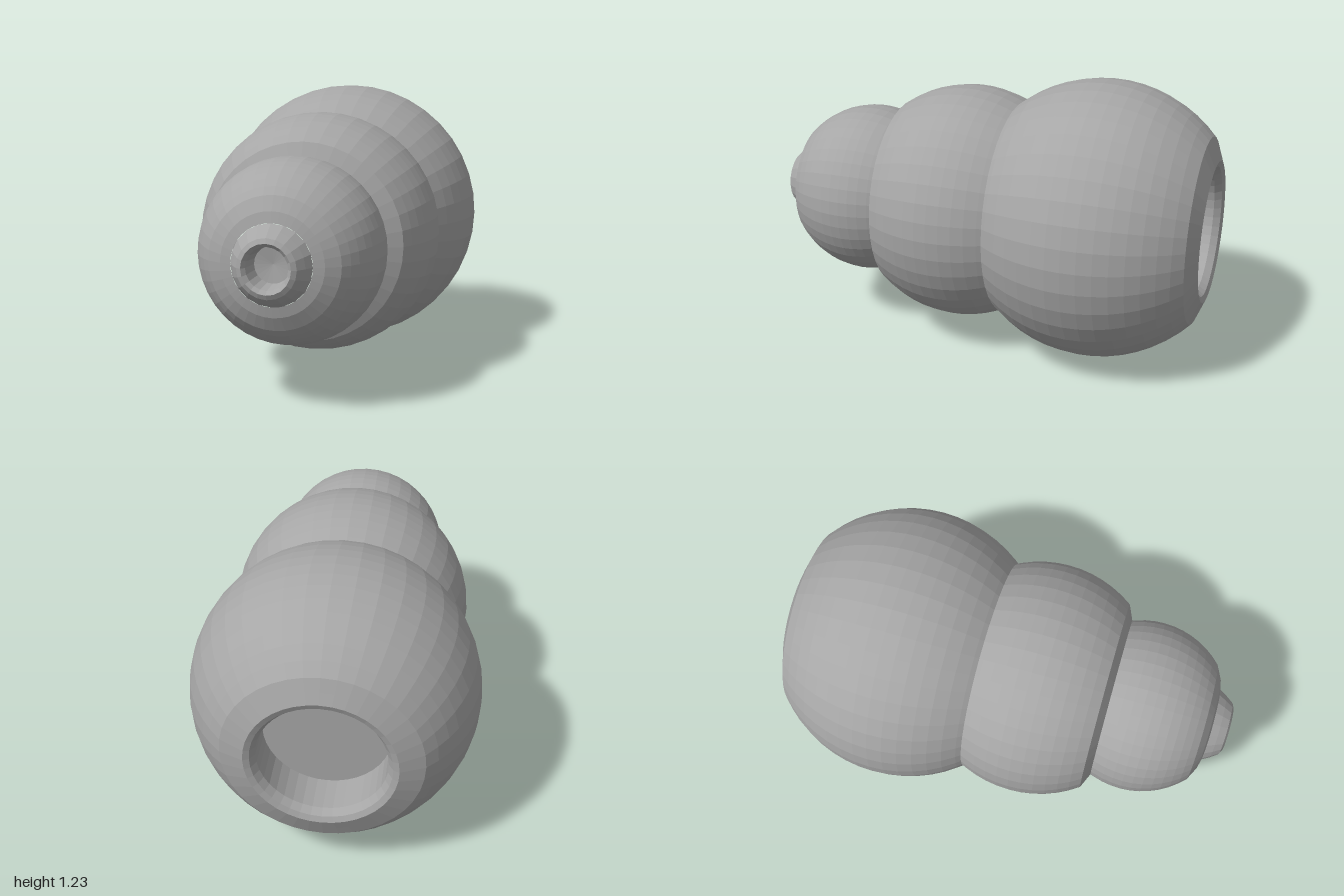
import * as THREE from 'three';

const SEGMENTS = 40;

// Profile points (radius, z) along a sphere between two z positions
function arc(centre, radius, z0, z1, steps) {
  const a0 = Math.acos((z0 - centre) / radius);
  const a1 = Math.acos((z1 - centre) / radius);
  const points = [];
  for (let i = 0; i <= steps; i++) {
    const a = a0 + (a1 - a0) * (i / steps);
    points.push([radius * Math.sin(a), centre + radius * Math.cos(a)]);
  }
  return points;
}

export function createModel() {
  const grey = new THREE.MeshStandardMaterial({ color: 0xa6a6a6, flatShading: true });
  grey.name = 'plain grey';

  const model = new THREE.Group();
  model.name = 'beadedBulb';

  // Turn a profile about the long axis, which points to the front
  function turned(name, profile, segments = SEGMENTS) {
    const points = profile.map(([r, z]) => new THREE.Vector2(r, z));
    const geometry = new THREE.LatheGeometry(points, segments);
    geometry.rotateX(Math.PI / 2);
    const mesh = new THREE.Mesh(geometry, grey);
    mesh.name = name;
    mesh.position.y = 0.617;
    model.add(mesh);
  }

  // Round socket sunk into the back, with a soft lip
  turned('backSocket', [[0, -0.8], [0.265, -0.8], [0.265, -0.96], [0.285, -0.99], [0.31, -1], [0.358, -0.981]]);

  // Three beads of falling size, meeting in narrow creases
  turned('largeBead', [[0.358, -0.981], ...arc(-0.5, 0.617, -0.96, -0.13, 14), [0.478, -0.11]]);
  turned('middleBead', [[0.478, -0.11], ...arc(0.12, 0.53, -0.09, 0.43, 10), [0.362, 0.46]]);
  turned('smallBead', [[0.362, 0.46], ...arc(0.6, 0.388, 0.475, 0.88, 10), [0.21, 0.91], [0.165, 0.92]]);

  // Short open nozzle at the front
  turned('nozzle', [[0.165, 0.92], [0.145, 0.955], [0.12, 0.99], [0.1, 1], [0.085, 0.985], [0.075, 0.9], [0, 0.89]], 20);

  return model;
}
